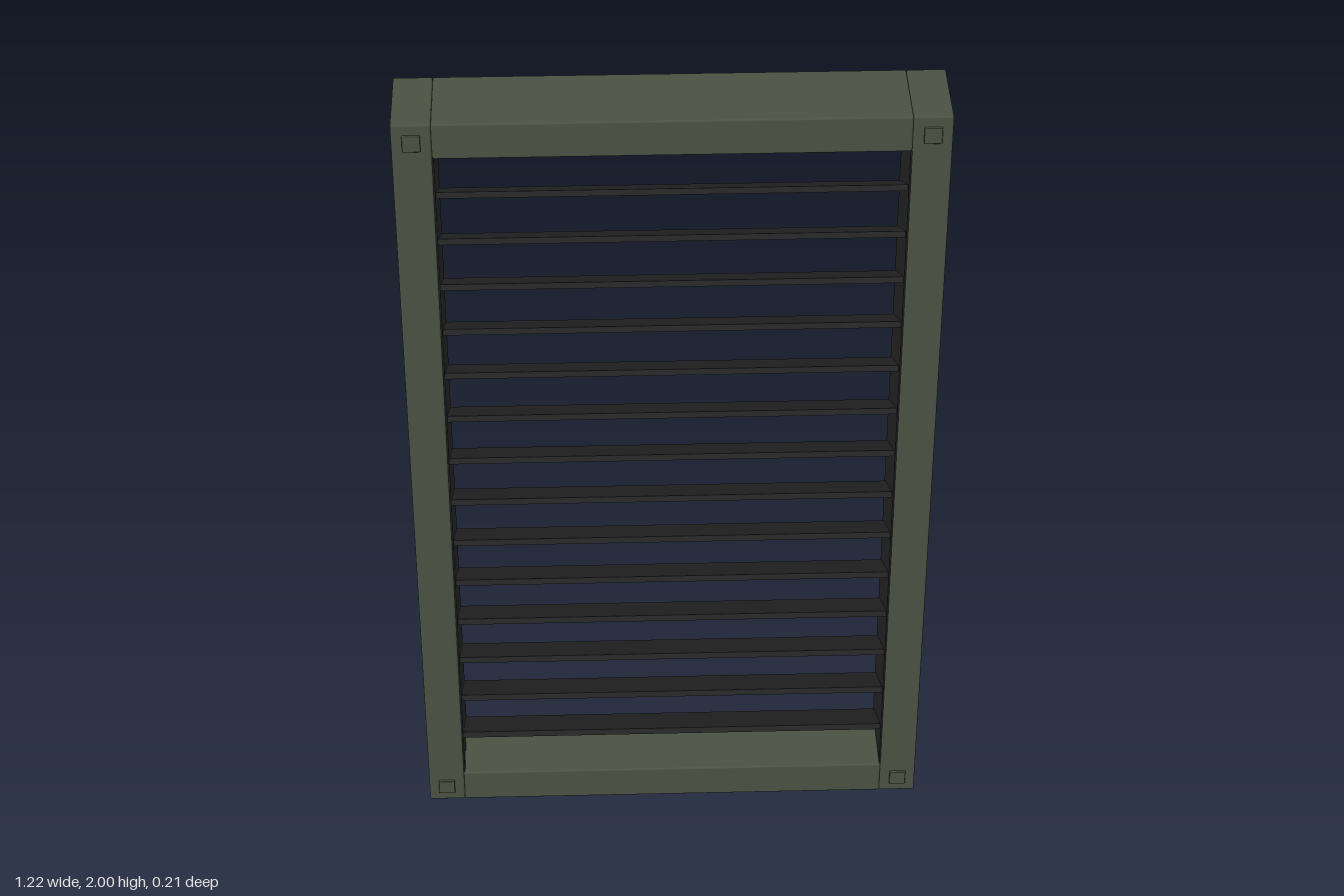
import * as THREE from 'three';
import { RoundedBoxGeometry } from 'three/addons/geometries/RoundedBoxGeometry.js';

export function createModel() {
  const model = new THREE.Group();
  model.name = 'louvredShutter';

  const frameGreen = new THREE.MeshStandardMaterial({ name: 'frameGreen', color: 0x4a5243 });
  const slatBlack = new THREE.MeshStandardMaterial({ name: 'slatBlack', color: 0x242424 });

  const add = (name, geometry, material, x, y, z) => {
    const mesh = new THREE.Mesh(geometry, material);
    mesh.name = name;
    mesh.position.set(x, y, z);
    model.add(mesh);
    return mesh;
  };

  const halfWidth = 0.612, inner = 0.524, depth = 0.2, railHeight = 0.089;
  const postWidth = halfWidth - inner;

  // Outer frame with softened edges
  const postGeo = new RoundedBoxGeometry(postWidth, 2, depth, 2, 0.005);
  const railGeo = new RoundedBoxGeometry(inner * 2, railHeight, depth, 2, 0.005);
  add('topRail', railGeo, frameGreen, 0, 2 - railHeight / 2, 0);
  add('bottomRail', railGeo, frameGreen, 0, railHeight / 2, 0);

  // Posts, their dark inner linings and the joint pegs on both faces
  const liningGeo = new THREE.BoxGeometry(0.004, 2 - railHeight * 2, depth - 0.006);
  const pegGeo = new RoundedBoxGeometry(0.04, 0.04, 0.014, 1, 0.002);
  for (const [side, s] of [['left', 1], ['right', -1]]) {
    add(side + 'Post', postGeo, frameGreen, s * (inner + postWidth / 2), 1, 0);
    add(side + 'Lining', liningGeo, slatBlack, s * (inner - 0.001), 1, 0);
    for (const y of [0.046, 1.954]) {
      for (const z of [-0.0995, 0.0995]) {
        add(side + 'Peg', pegGeo, frameGreen, s * (inner + postWidth / 2), y, z);
      }
    }
  }

  // Tilted slats, front edge high and back edge low
  const slatGeo = new THREE.BoxGeometry(inner * 2, 0.014, 0.182);
  const slatCount = 14;
  for (let i = 0; i < slatCount; i++) {
    const slat = add('slat' + (i + 1), slatGeo, slatBlack, 0, 0.153 + i * 0.1235, 0);
    slat.rotation.x = -Math.PI / 6;
  }

  return model;
}
